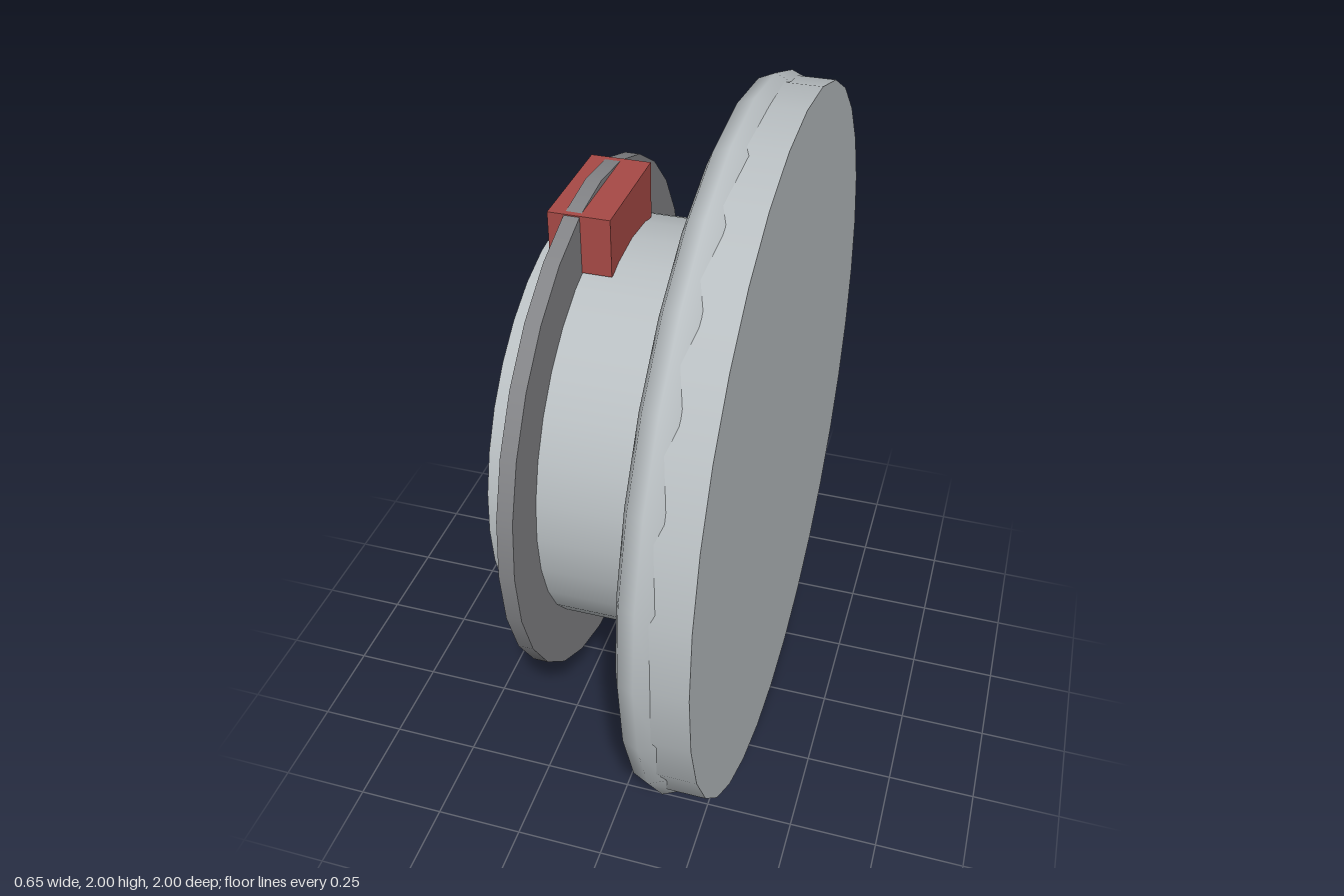
import * as THREE from 'three';

export function createModel() {
  const model = new THREE.Group();
  const material = (name, color) => {
    const m = new THREE.MeshStandardMaterial({ color });
    m.name = name;
    return m;
  };
  const lightGrey = material('light grey', 0xb9bfc2);
  const darkGrey = material('dark grey', 0x838487);
  const red = material('red', 0xa84a46);

  const add = (name, geometry, mat, parent = model) => {
    const mesh = new THREE.Mesh(geometry, mat);
    mesh.name = name;
    parent.add(mesh);
    return mesh;
  };

  // Round part lying along x, from x0 to x1
  const drum = (name, radius, x0, x1, sides, mat) => {
    const g = new THREE.CylinderGeometry(radius, radius, x1 - x0, sides);
    g.rotateZ(Math.PI / 2);
    add(name, g, mat).position.set((x0 + x1) / 2, 1, 0);
  };

  drum('facePlate', 0.985, 0.2, 0.325, 32, lightGrey);
  drum('hub', 0.577, -0.325, 0.22, 32, lightGrey);
  drum('flange', 0.73, -0.237, -0.195, 28, darkGrey);

  // Rounded rim around the back of the plate
  const rim = new THREE.TorusGeometry(0.94, 0.06, 8, 28);
  rim.rotateY(Math.PI / 2);
  add('rim', rim, lightGrey).position.set(0.197, 1, 0);

  // Five ribs between hub and rim
  const ribs = new THREE.Group();
  ribs.name = 'ribs';
  ribs.position.y = 1;
  for (let i = 0; i < 5; i++) {
    const g = new THREE.BoxGeometry(0.07, 0.37, 0.12);
    g.translate(0.175, 0.725, 0);
    g.rotateX((i * Math.PI * 2) / 5);
    add('rib', g, lightGrey, ribs);
  }
  model.add(ribs);

  // Block straddling the top of the flange
  add('clampBlock', new THREE.BoxGeometry(0.165, 0.16, 0.335), red).position.set(-0.198, 1.633, 0);

  return model;
}
